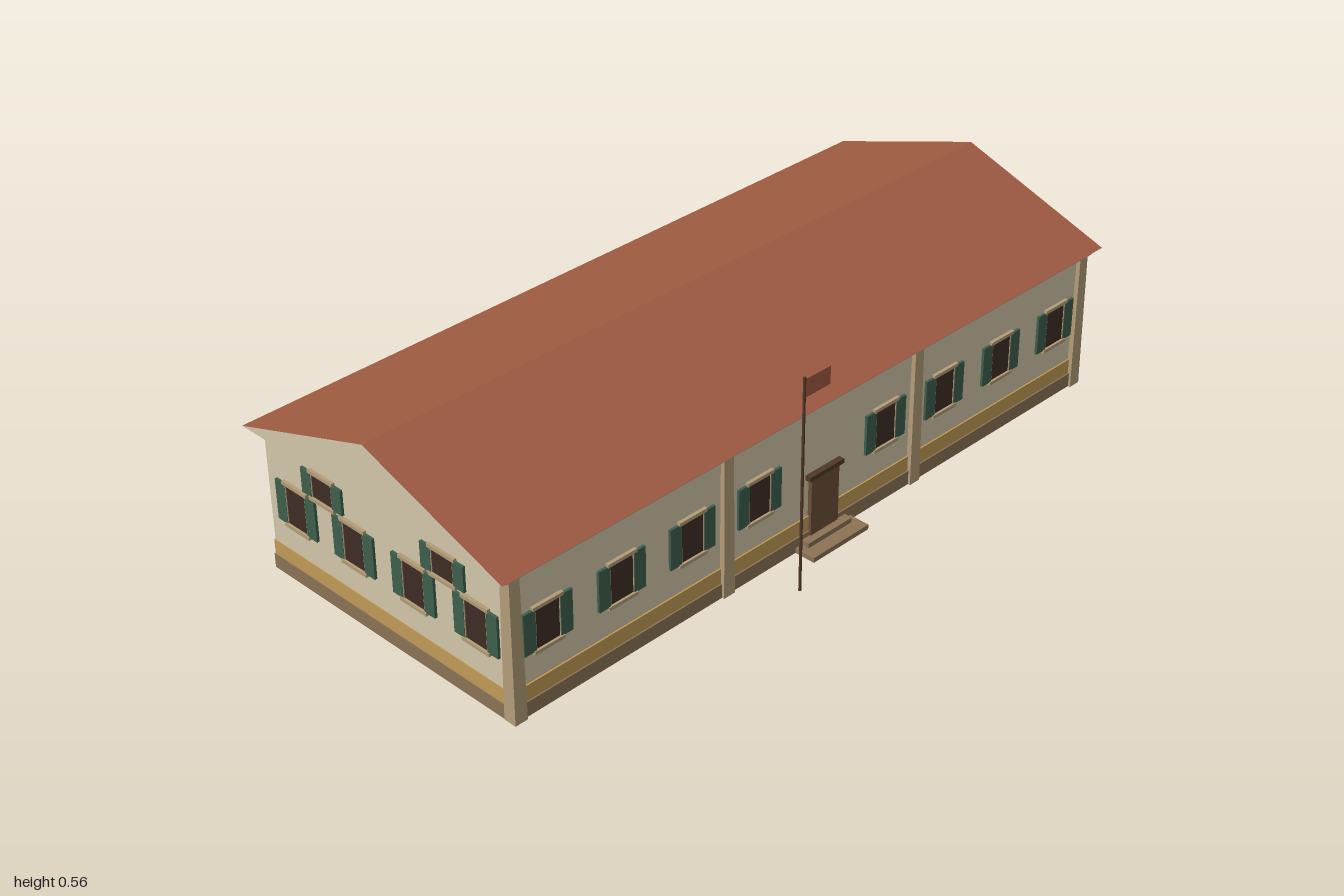
import * as THREE from 'three';

const mat = (name, color) => Object.assign(new THREE.MeshStandardMaterial({ color }), { name });

export function createModel() {
  const M = {
    wall: mat('cream plaster', 0xd2c7a9),
    roof: mat('roof tile red', 0x9f5b42),
    ochre: mat('ochre band', 0xc19b56),
    base: mat('plinth brown', 0x8b7355),
    trim: mat('tan trim', 0xb39c78),
    glass: mat('dark window', 0x3e2d25),
    shutter: mat('green shutter', 0x3d5f4c),
    door: mat('door brown', 0x6b4f36),
    dark: mat('dark wood', 0x4f3826),
  };
  const model = new THREE.Group();
  model.name = 'longHouse';

  // Box given by its min and max on each axis
  const box = (parent, name, material, [x0, x1], [y0, y1], [z0, z1]) => {
    const mesh = new THREE.Mesh(new THREE.BoxGeometry(x1 - x0, y1 - y0, z1 - z0), material);
    mesh.position.set((x0 + x1) / 2, (y0 + y1) / 2, (z0 + z1) / 2);
    mesh.name = name;
    parent.add(mesh);
    return mesh;
  };

  // Body: plinth, coloured band, walls and cornice
  const X = 0.965, front = 0.37, back = -0.434;
  box(model, 'plinth', M.base, [-X - 0.004, X + 0.004], [0, 0.038], [back - 0.004, front + 0.008]);
  box(model, 'ochreBand', M.ochre, [-X - 0.002, X + 0.002], [0.038, 0.078], [back - 0.002, front + 0.004]);
  box(model, 'walls', M.wall, [-X, X], [0.078, 0.375], [back, front]);
  box(model, 'cornice', M.trim, [-0.978, 0.978], [0.371, 0.386], [-0.449, 0.386]);

  // Gabled roof with plastered ends
  const gable = new THREE.Shape();
  gable.moveTo(-0.4, 0.386);
  gable.lineTo(0.465, 0.386);
  gable.lineTo(0.031, 0.532);
  gable.closePath();
  const roofGeo = new THREE.ExtrudeGeometry(gable, { depth: 2, bevelEnabled: false });
  roofGeo.translate(0, 0, -1).rotateY(Math.PI / 2);
  const roof = new THREE.Mesh(roofGeo, [M.wall, M.roof]);
  roof.name = 'gabledRoof';
  model.add(roof);

  // Tapered square columns along the front
  const columnGeo = new THREE.CylinderGeometry(0.0145 * Math.SQRT2, 0.0175 * Math.SQRT2, 0.372, 4).toNonIndexed();
  columnGeo.rotateY(Math.PI / 4);
  columnGeo.computeVertexNormals();
  for (const x of [-0.953, -0.322, 0.322, 0.953]) {
    const column = new THREE.Mesh(columnGeo, M.trim);
    column.position.set(x, 0.186, 0.367);
    column.name = 'column';
    model.add(column);
  }

  // Shuttered window between heights y0 and y1, built facing +z then turned
  const addWindow = (x, z, turn, y0, y1) => {
    const g = new THREE.Group();
    g.name = 'shutteredWindow';
    box(g, 'pane', M.glass, [-0.034, 0.034], [y0, y1], [-0.004, 0.004]);
    for (const s of [-1, 1]) {
      const c = s * 0.0525;
      box(g, 'shutter', M.shutter, [c - 0.017, c + 0.017], [y0 - 0.002, y1 + 0.002], [-0.004, 0.007]);
      box(g, 'jamb', M.trim, [s * 0.0365 - 0.003, s * 0.0365 + 0.003], [y0, y1], [-0.004, 0.006]);
    }
    box(g, 'lintel', M.trim, [-0.043, 0.043], [y1, y1 + 0.009], [-0.004, 0.009]);
    box(g, 'sill', M.trim, [-0.043, 0.043], [y0 - 0.009, y0], [-0.004, 0.01]);
    g.position.set(x, 0, z);
    g.rotation.y = turn;
    model.add(g);
  };
  for (const s of [-1, 1]) {
    for (let i = 1; i <= 4; i++) {
      addWindow(s * i * 0.215, front, 0, 0.157, 0.26);
      addWindow(s * i * 0.215, back, Math.PI, 0.157, 0.26);
    }
    for (const z of [0.272, 0.07, -0.131, -0.332]) addWindow(s * X, z, s * Math.PI / 2, 0.157, 0.26);
    for (const z of [0.172, -0.231]) addWindow(s * X, z, s * Math.PI / 2, 0.276, 0.338);
  }

  // Doors front and back
  const addDoor = (z, turn) => {
    const g = new THREE.Group();
    g.name = 'door';
    box(g, 'doorLeaf', M.door, [-0.047, 0.047], [0.012, 0.183], [-0.004, 0.011]);
    box(g, 'doorLintel', M.dark, [-0.058, 0.058], [0.181, 0.193], [-0.004, 0.016]);
    g.position.z = z;
    g.rotation.y = turn;
    model.add(g);
  };
  addDoor(front, 0);
  addDoor(back, Math.PI);

  // Steps
  box(model, 'frontLowerStep', M.base, [-0.095, 0.095], [0, 0.013], [0.36, 0.435]);
  box(model, 'frontUpperStep', M.base, [-0.075, 0.075], [0.013, 0.026], [0.36, 0.4]);
  box(model, 'backStep', M.base, [-0.057, 0.053], [0, 0.013], [-0.486, -0.42]);

  // Flagpole and flag
  const pole = new THREE.Mesh(new THREE.CylinderGeometry(0.0035, 0.0035, 0.565, 8), M.dark);
  pole.position.set(-0.196, 0.2825, 0.484);
  pole.name = 'flagpole';
  model.add(pole);
  box(model, 'flag', M.roof, [-0.194, -0.113], [0.513, 0.56], [0.4825, 0.4855]);

  return model;
}
